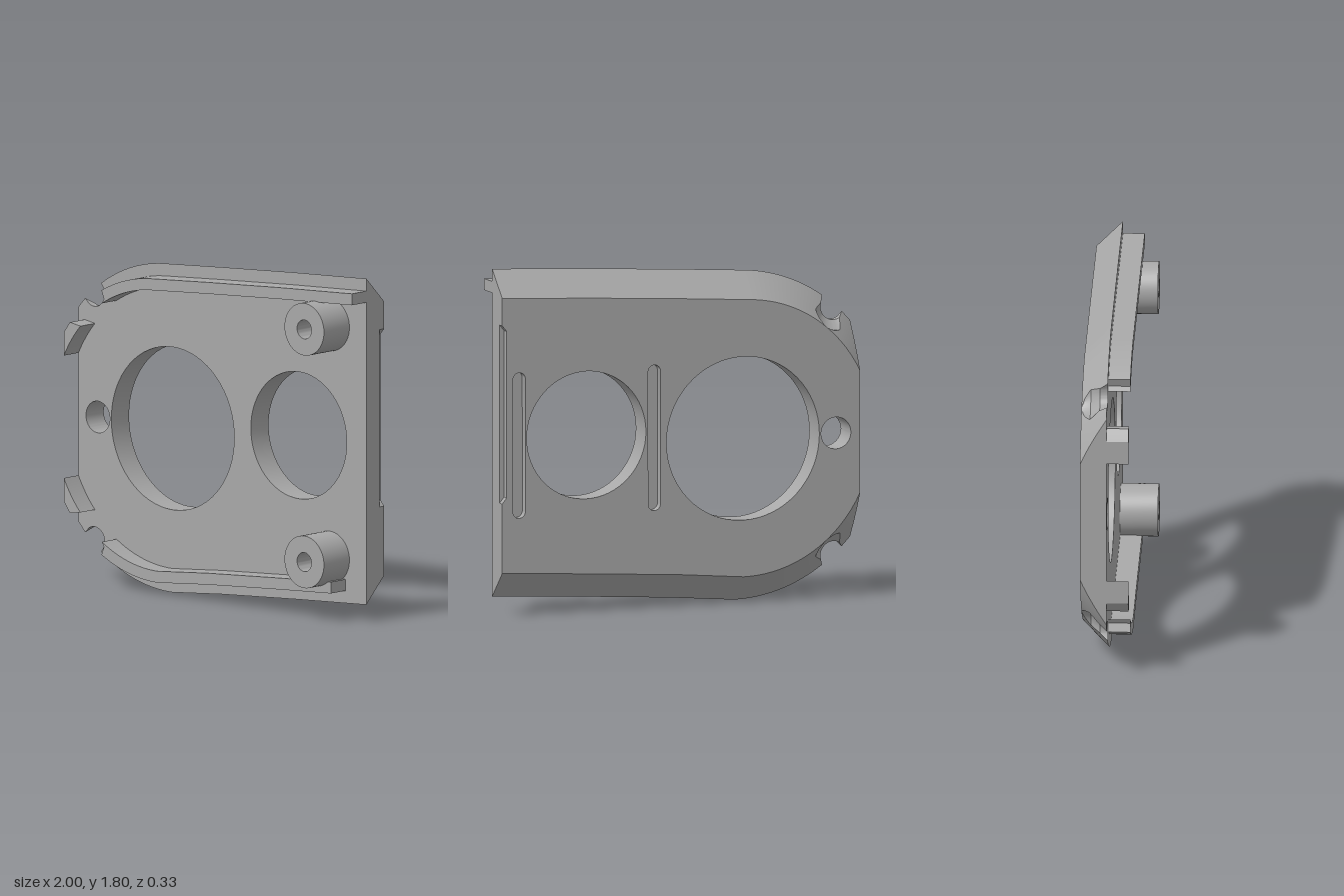
import * as THREE from 'three';
import { toCreasedNormals } from 'three/addons/utils/BufferGeometryUtils.js';

const FRONT = -0.03, BACK = -0.167, CX = -0.35, CY = 0.86, R = 0.86;
const V = (x, y) => new THREE.Vector2(x, y);
const flip = p => V(p.x, 2 * CY - p.y);
const polar = (r, a) => V(CX + r * Math.cos(a), CY + r * Math.sin(a));
const A0 = THREE.MathUtils.degToRad(94), A90 = Math.PI / 2;

// Nearly straight long edges, inset by d
const topEdge = d => [V(1, 1.8 - d), V(0.5, 1.775 - d), V(0, 1.745 - d)];
const bottomEdge = d => [V(0, 0.03 + d), V(0.5, 0.062 + d), V(1, 0.09 + d)];

// Rounded corner with a countersunk screw notch of radius r
function cornerArc(d, r, start) {
  const rad = R - d, end = Math.acos((-1 - CX) / rad);
  const dist = 0.845, mid = Math.atan2(0.65, -0.54), pts = [];
  const c = (rad * rad + dist * dist - r * r) / (2 * rad * dist);
  const h = Math.max(0.01, Math.acos(Math.min(1, c)));
  for (let i = 0; i <= 20; i++) pts.push(polar(rad, start + (mid - h - start) * i / 20));
  for (let i = 0; i <= 24; i++) {
    const t = -h * Math.cos(Math.PI * i / 24), s = dist * Math.sin(t);
    const inner = dist * Math.cos(t) - Math.sqrt(Math.max(0, r * r - s * s));
    pts.push(polar(Math.min(rad, inner), mid + t));
  }
  for (let i = 0; i <= 6; i++) pts.push(polar(rad, mid + h + (end - mid - h) * i / 6));
  return pts;
}

// Plate outline at inset d; edgeX is the depth of the recess in the straight end
function outline(d, r, edgeX) {
  return [
    ...topEdge(d), ...cornerArc(d, r, A0),
    ...cornerArc(d, r, A90).reverse().map(flip), ...bottomEdge(d),
    V(1, 0.59), V(edgeX, 0.62), V(edgeX, 1.49), V(1, 1.52),
  ];
}

// Skin between equal-length loops, ordered front to back
function skin(layers, inward = false) {
  const pos = [], idx = [], n = layers[0].pts.length;
  layers.forEach(l => l.pts.forEach(p => pos.push(p.x, p.y, l.z)));
  for (let k = 0; k < layers.length - 1; k++) {
    for (let i = 0; i < n; i++) {
      const j = (i + 1) % n, a = k * n + i, b = k * n + j, c = a + n, e = b + n;
      idx.push(...(inward ? [c, a, e, e, a, b] : [c, e, a, e, b, a]));
    }
  }
  const g = new THREE.BufferGeometry();
  g.setAttribute('position', new THREE.Float32BufferAttribute(pos, 3));
  g.setIndex(idx);
  return toCreasedNormals(g, 0.45);
}

function circle(x, y, r, n = 64) {
  return Array.from({ length: n }, (_, i) => {
    const a = i / n * Math.PI * 2;
    return V(x + r * Math.cos(a), y + r * Math.sin(a));
  });
}

// Upright slot with round ends
const slot = (x, y, w, len) => circle(x, y, w / 2, 24).map((p, i) =>
  V(p.x, p.y + (i < 12 ? 1 : -1) * (len - w) / 2));

function cap(pts, holes, z) {
  const s = new THREE.Shape(pts);
  s.holes = holes.map(h => new THREE.Path(h));
  return new THREE.ShapeGeometry(s).translate(0, 0, z);
}

// Strip between two offset curves
function extrude(pts, z0, z1) {
  const g = new THREE.ExtrudeGeometry(new THREE.Shape(pts), { depth: z1 - z0, bevelEnabled: false });
  return toCreasedNormals(g.translate(0, 0, z0), 0.45);
}
const arc = (r, a, b, n = 16) => Array.from({ length: n + 1 }, (_, i) => polar(r, a + (b - a) * i / n));

export function createModel() {
  const group = new THREE.Group();
  const grey = new THREE.MeshStandardMaterial({ color: 0xa8a8a8, side: THREE.DoubleSide });
  grey.name = 'plain grey';
  const add = (name, geometry) => {
    const m = new THREE.Mesh(geometry, grey);
    m.name = name;
    group.add(m);
    return m;
  };

  // Chamfered plate
  const layers = [
    [-0.03, 0.072, 1], [-0.07, 0.072, 1], [-0.095, 0.096, 1], [-0.12, 0.12, 1],
    [-0.13, 0.12, 1], [-0.13, 0.12, 0.975], [-0.15, 0.12, 0.975], [BACK, 0.12, 0.975],
  ].map(([z, r, x]) => ({ z, pts: outline(FRONT - z, r, x) }));
  const holes = [circle(-0.345, 0.86, 0.427), circle(0.53, 0.925, 0.333), circle(-0.865, 0.86, 0.083)];
  const slots = [slot(0.15, 0.89, 0.07, 0.76), slot(0.905, 0.89, 0.07, 0.76)];
  add('plateEdge', skin(layers));
  add('plateFront', cap(layers[0].pts, holes, FRONT));
  const back = cap(layers[layers.length - 1].pts, [...holes, ...slots], BACK);
  back.index.array.reverse();
  back.attributes.normal.array.forEach((v, i, a) => { a[i] = -v; });
  add('plateBack', back);
  holes.forEach(h => add('holeWall', skin([{ z: FRONT, pts: h }, { z: BACK, pts: h }], true)));

  // Shallow slots in the back
  slots.forEach(s => {
    const floor = -0.125;
    add('slotWall', skin([{ z: floor, pts: s }, { z: BACK, pts: s }], true));
    const f = cap(s, [], floor);
    f.index.array.reverse();
    f.attributes.normal.array.forEach((v, i, a) => { a[i] = -v; });
    add('slotFloor', f);
  });

  // Raised rails following the long edges
  const out = 0.065, inn = 0.125, top = 0.083, endOut = 2.082, endIn = 2.124;
  add('upperRail', extrude([
    ...topEdge(out), ...arc(R - out, A0, endOut), V(-0.722, 1.51),
    ...arc(R - inn, endIn, A0), ...topEdge(inn).reverse(),
  ], FRONT, top));
  const low = d => [V(0, 0.03 + d), V(0.5, 0.062 + d), V(0.855, 0.082 + d)];
  add('lowerRail', extrude([
    ...arc(R - out, endOut, A90).map(flip), ...low(out),
    ...low(inn).reverse(), ...arc(R - inn, A90, endIn).map(flip), V(-0.722, 0.21),
  ], FRONT, top));

  // Short corner tabs
  const at = r => Math.acos((-1 - CX) / r);
  const tab = [...arc(0.787, 2.452, at(0.787), 6), ...arc(0.725, at(0.725), 2.402, 10)];
  add('upperTab', extrude(tab, FRONT, top));
  add('lowerTab', extrude(tab.map(flip), FRONT, top));

  // Hollow screw bosses
  const bossProfile = [V(0.05, 0), V(0.05, 0.197), V(0.137, 0.197), V(0.137, 0)];
  for (const y of [1.53, 0.31]) {
    const g = new THREE.LatheGeometry(bossProfile.reverse().slice(), 48);
    bossProfile.reverse();
    g.deleteAttribute('normal');
    const boss = add('screwBoss', toCreasedNormals(g, 0.45));
    boss.rotation.x = Math.PI / 2;
    boss.position.set(0.745, y, FRONT);
  }
  return group;
}
